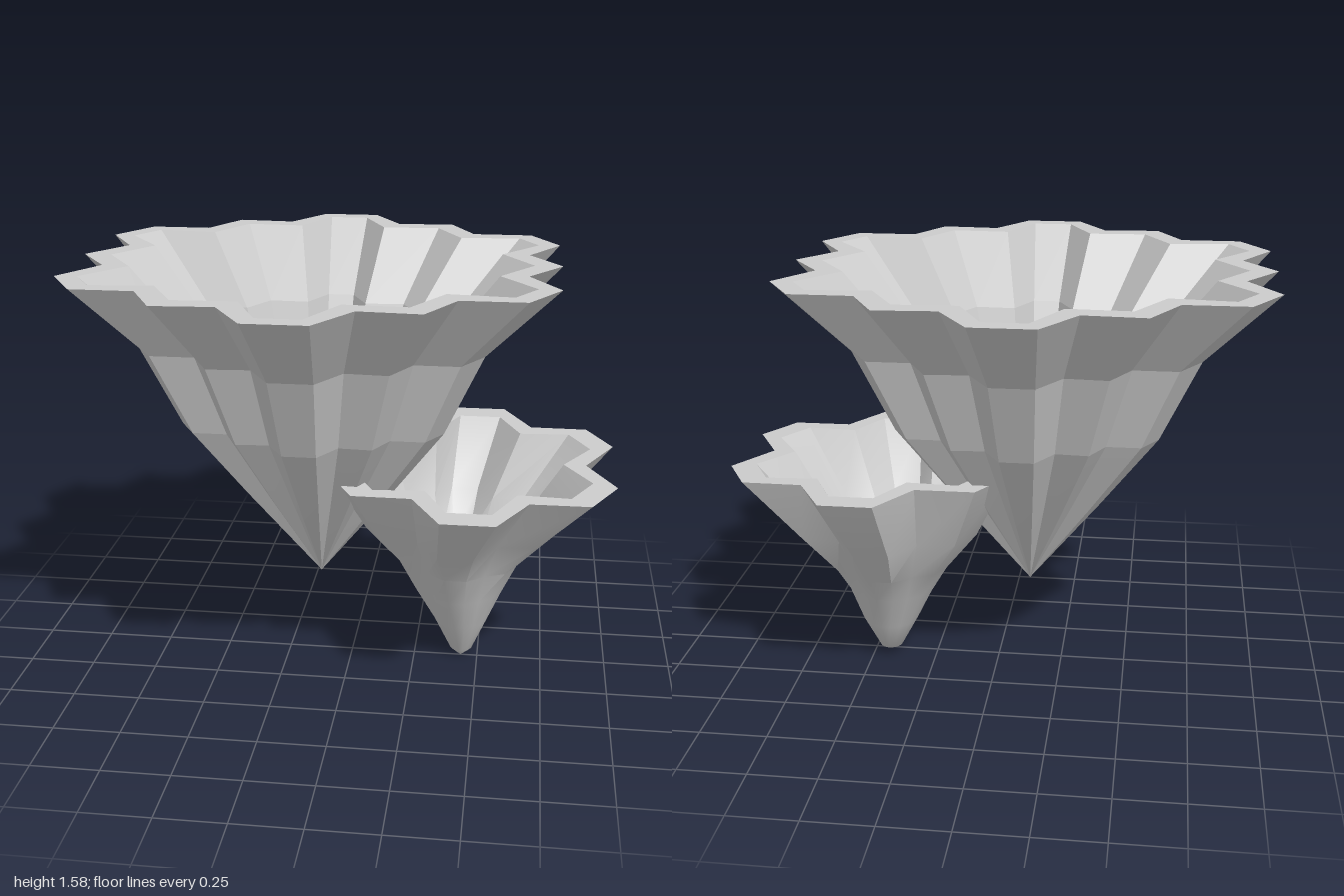
import * as THREE from 'three';
import { toCreasedNormals } from 'three/addons/utils/BufferGeometryUtils.js';

// Star outline: `arm` is a list of [degrees, radius] repeated six times about the centre
function star(arm, start) {
  const out = [];
  for (let k = 0; k < 6; k++) {
    for (const [deg, r] of arm) {
      const a = THREE.MathUtils.degToRad(start + k * 60 + deg);
      out.push([r * Math.cos(a), -r * Math.sin(a)]);
    }
  }
  return out;
}

// Skin a stack of rings, from the outer tip up over the rim and down to the inner tip
function skin(rings, crease) {
  const pos = [];
  const n = rings[0].length;
  for (let i = 0; i < rings.length - 1; i++) {
    for (let j = 0; j < n; j++) {
      const k = (j + 1) % n;
      const a = rings[i][j], b = rings[i][k], c = rings[i + 1][k], d = rings[i + 1][j];
      if (i > 0) pos.push(...a, ...b, ...c, ...a, ...c, ...d);
      else pos.push(...a, ...c, ...d);
      // the inner tip closes to a point
      if (i === rings.length - 2) pos.splice(-9);
    }
  }
  const geo = new THREE.BufferGeometry();
  geo.setAttribute('position', new THREE.Float32BufferAttribute(pos, 3));
  return toCreasedNormals(geo, crease);
}

// Large cup: a fluted star that scales evenly down to its tip
function largeCup() {
  const outer = star([[-6.6, 0.956], [6.6, 0.956], [16.6, 0.785], [30, 0.884], [43.4, 0.785]], 30);
  const inner = star([[-4.9, 0.88], [4.9, 0.88], [14.2, 0.69], [30, 0.783], [45.8, 0.69]], 30);
  // [height, scale]
  const outside = [[0.35, 0], [0.71, 0.305], [1.01, 0.55], [1.32, 0.71], [1.59, 1]];
  const inside = [[1.59, 1], [1.32, 0.69], [1.01, 0.51], [0.71, 0.24], [0.44, 0]];
  const place = (pts, list) => list.map(([y, s]) => pts.map(([x, z]) => [-0.123 + x * s, y, z * s]));
  return skin([...place(outer, outside), ...place(inner, inside)], 0.08);
}

// Small cup: six lobes at the rim that fade into a round, slightly wandering stem
function smallCup() {
  // [height, lobe radius, notch radius, centre x, centre z]
  const levels = [
    [0.01, 0, 0, 0.435, 0],
    [0.04, 0.045, 0.045, 0.435, -0.02],
    [0.17, 0.11, 0.11, 0.43, -0.035],
    [0.31, 0.178, 0.17, 0.42, -0.02],
    [0.43, 0.245, 0.22, 0.415, -0.04],
    [0.59, 0.385, 0.3, 0.42, -0.025],
    [0.835, 0.57, 0.425, 0.468, 0],
    [0.835, 0.475, 0.34, 0.468, 0],
    [0.59, 0.31, 0.235, 0.42, -0.025],
    [0.43, 0.18, 0.16, 0.415, -0.04],
    [0.31, 0.11, 0.11, 0.42, -0.02],
    [0.2, 0, 0, 0.43, -0.03],
  ];
  const rings = levels.map(([y, lobe, notch, cx, cz]) =>
    star([[-10, lobe], [10, lobe], [30, notch]], 30).map(([x, z]) => {
      const tilt = y > 0.8 ? -0.03 * z : 0; // rim leans a little to the front
      return [cx + x * 0.98, y + tilt, cz + z * 1.07];
    }));
  return skin(rings, 0.65);
}

export function createModel() {
  const group = new THREE.Group();
  const material = new THREE.MeshStandardMaterial({ color: 0xcccccc, side: THREE.DoubleSide });
  for (const [name, geo] of [['largeFlutedCup', largeCup()], ['smallLobedCup', smallCup()]]) {
    const mesh = new THREE.Mesh(geo, material);
    mesh.name = name;
    group.add(mesh);
  }
  return group;
}
